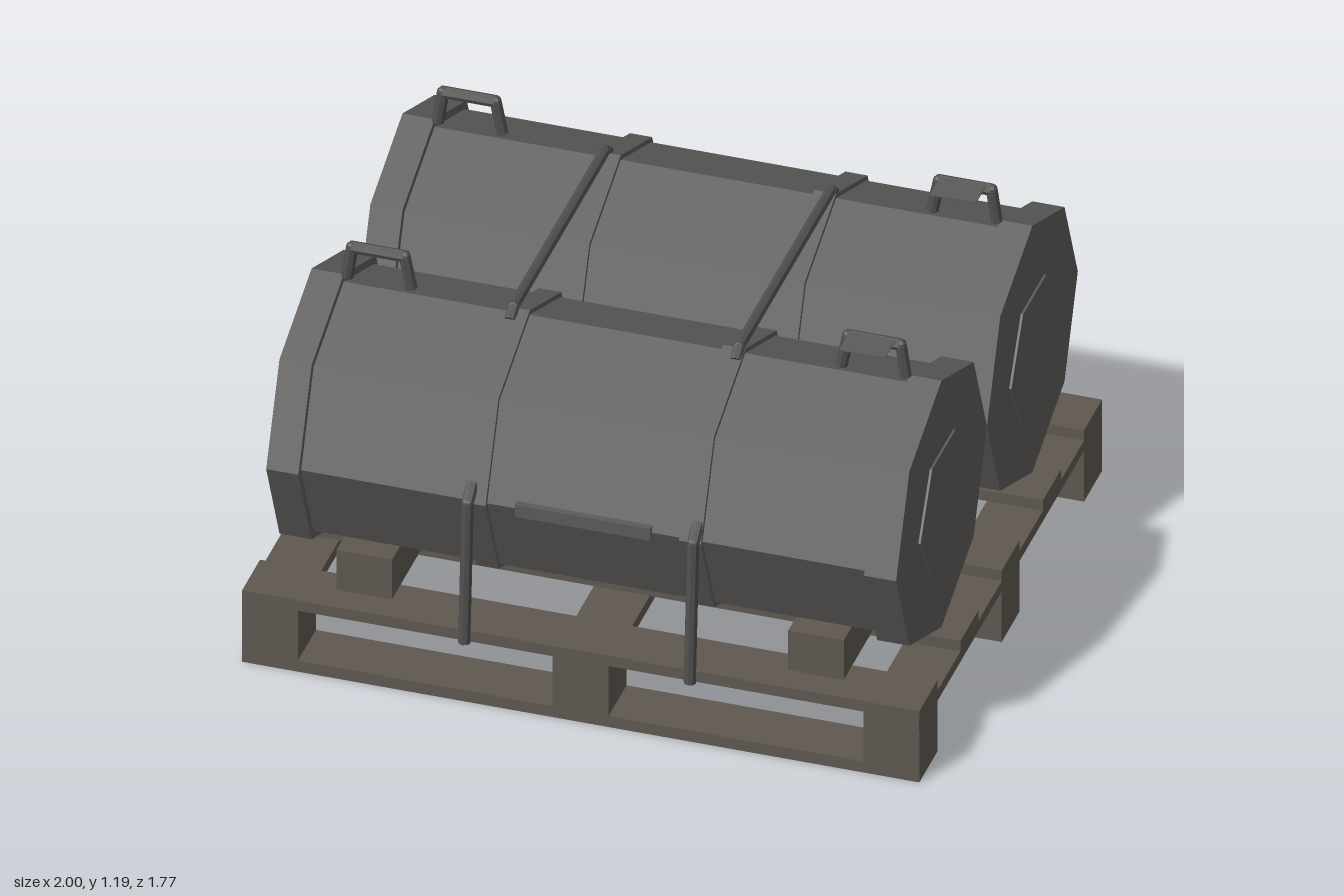
import * as THREE from 'three';

const mat = (color) => new THREE.MeshStandardMaterial({ color, flatShading: true });
const drumMat = mat(0x5c5b59), woodMat = mat(0x5e5850), rodMat = mat(0x504f4e);

function add(parent, name, geometry, material, x = 0, y = 0, z = 0) {
  const mesh = new THREE.Mesh(geometry, material);
  mesh.name = name;
  mesh.position.set(x, y, z);
  parent.add(mesh);
  return mesh;
}

// Box given by its limits on each axis
function block(parent, name, material, [x0, x1], [y0, y1], [z0, z1]) {
  return add(parent, name, new THREE.BoxGeometry(x1 - x0, y1 - y0, z1 - z0), material,
    (x0 + x1) / 2, (y0 + y1) / 2, (z0 + z1) / 2);
}

// Prism lying along x, with a corner pointing to +z
const prism = (radius, length, sides) =>
  new THREE.CylinderGeometry(radius, radius, length, sides).rotateZ(Math.PI / 2);

// Round bar through points, with a ball at every joint
function bar(parent, name, points, radius) {
  const group = new THREE.Group();
  group.name = name;
  const pts = points.map((p) => new THREE.Vector3(...p));
  pts.forEach((p, i) => {
    if (i > 0 && i < pts.length - 1) {
      add(group, name + 'Joint', new THREE.SphereGeometry(radius, 8, 6), rodMat, p.x, p.y, p.z);
    }
    if (i === 0) return;
    const dir = p.clone().sub(pts[i - 1]);
    const mid = p.clone().add(pts[i - 1]).multiplyScalar(0.5);
    const piece = add(group, name + 'Piece',
      new THREE.CylinderGeometry(radius, radius, dir.length(), 8), rodMat, mid.x, mid.y, mid.z);
    piece.quaternion.setFromUnitVectors(new THREE.Vector3(0, 1, 0), dir.normalize());
  });
  parent.add(group);
}

function createPallet() {
  const pallet = new THREE.Group();
  pallet.name = 'pallet';
  const w = 0.0825;
  for (const z of [-0.752, 0, 0.752]) {
    block(pallet, 'bottomBoard', woodMat, [-1, 1], [0, 0.037], [z - w, z + w]);
    for (const x of [-0.9175, 0, 0.9175]) {
      block(pallet, 'palletBlock', woodMat, [x - w, x + w], [0.037, 0.17], [z - w, z + w]);
    }
  }
  for (const x of [-0.9175, 0, 0.9175]) {
    block(pallet, 'crossBoard', woodMat, [x - w, x + w], [0.17, 0.205], [-0.835, 0.835]);
  }
  for (const z of [-0.752, -0.376, 0, 0.376, 0.752]) {
    block(pallet, 'topBoard', woodMat, [-1, 1], [0.205, 0.24], [z - w, z + w]);
  }
  return pallet;
}

function createDrum() {
  const drum = new THREE.Group();
  drum.name = 'drum';
  add(drum, 'drumBody', prism(0.39, 1.7, 8), drumMat);
  for (const s of [-1, 1]) {
    add(drum, 'endRing', prism(0.415, 0.095, 8), drumMat, s * 0.8825);
    add(drum, 'endPlate', prism(0.213, 0.02, 6), drumMat, s * 0.927);
    add(drum, 'band', prism(0.405, 0.065, 8), drumMat, s * 0.318);
    // Carrying handle above each end
    bar(drum, 'handle', [[s * 0.825, 0.41, 0], [s * 0.81, 0.512, 0],
      [s * 0.655, 0.512, 0], [s * 0.635, 0.41, 0]], 0.018);
  }
  // Tag lying on one handle, plate on the front corner
  block(drum, 'handleTag', drumMat, [0.66, 0.795], [0.524, 0.528], [0, 0.1]);
  block(drum, 'sidePlate', drumMat, [-0.2, 0.2], [-0.02, 0.02], [0.375, 0.402]);
  return drum;
}

export function createModel() {
  const model = new THREE.Group();
  model.name = 'palletWithDrums';
  model.add(createPallet());

  for (const s of [-1, 1]) {
    const drum = createDrum();
    drum.position.set(0, 0.66, s * 0.415);
    model.add(drum);
    // Chocks under each drum
    for (const x of [-0.667, 0.667]) {
      block(model, 'chock', woodMat, [x - 0.082, x + 0.082], [0.24, 0.373],
        s > 0 ? [0.085, 0.748] : [-0.748, -0.085]);
    }
  }

  // Tie rods across the top and down both sides
  for (const x of [-0.333, 0.333]) {
    bar(model, 'topRod', [[x, 1.045, -0.45], [x, 1.07, -0.415],
      [x, 1.07, 0.415], [x, 1.045, 0.45]], 0.017);
    for (const s of [-1, 1]) {
      bar(model, 'sideRod', [[x, 0.222, s * 0.868], [x, 0.67, s * 0.836],
        [x, 0.71, s * 0.79]], 0.018);
    }
  }
  return model;
}
